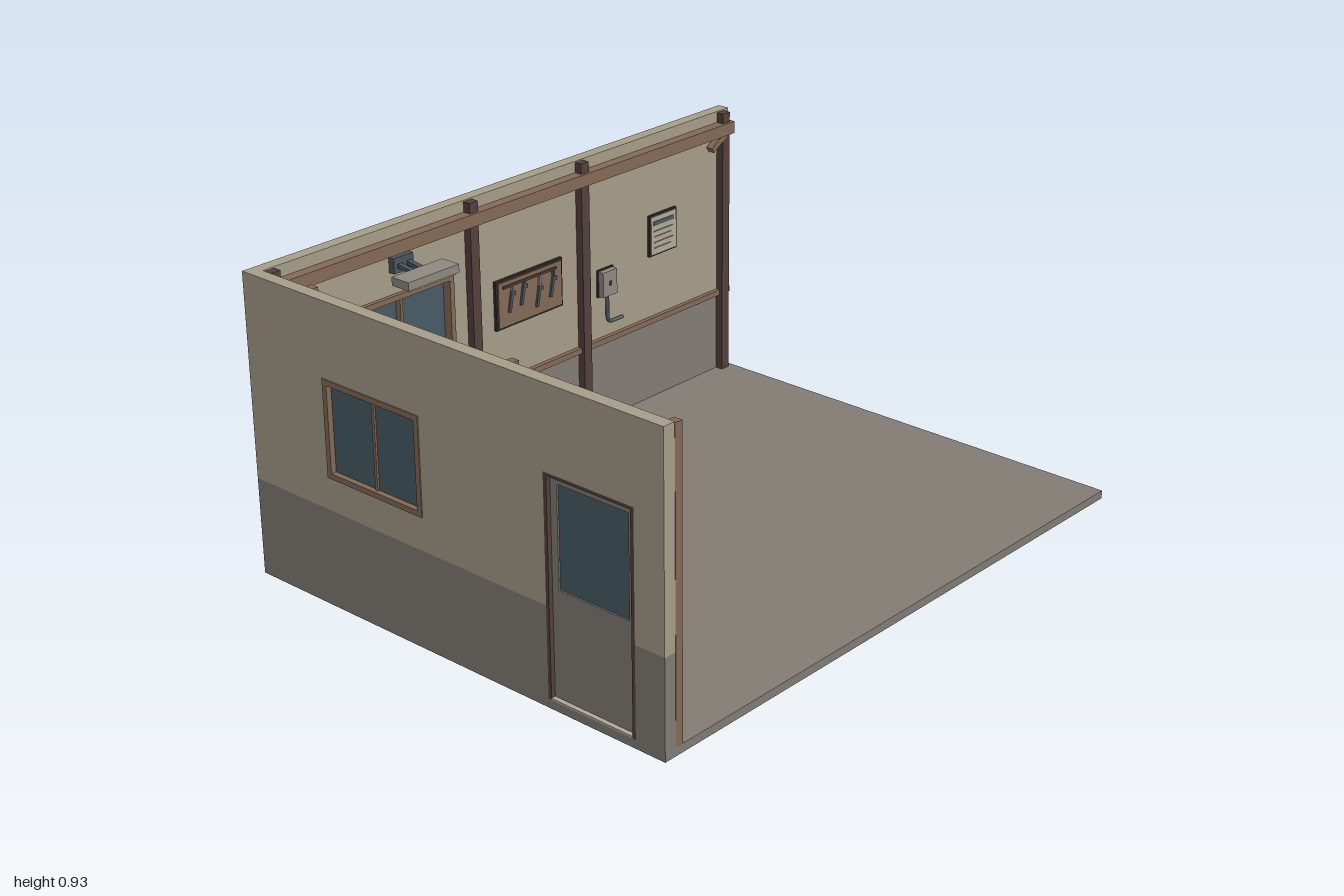
import * as THREE from 'three';

const mat = (name, color) => Object.assign(new THREE.MeshStandardMaterial({ color }), { name });

export function createModel() {
  const plaster = mat('plaster', 0xa69d89), stone = mat('greyBase', 0x827b74);
  const wood = mat('wood', 0x836955), darkWood = mat('darkWood', 0x52413b);
  const glass = mat('glass', 0x475b65), steel = mat('steel', 0x4a555c);
  const metal = mat('paleMetal', 0x8d8880), paper = mat('paper', 0xb0a998);
  const black = mat('darkTrim', 0x2e2a2a);

  const model = new THREE.Group();
  model.name = 'roomCorner';
  const group = (parent, name) => {
    const g = new THREE.Group();
    g.name = name;
    parent.add(g);
    return g;
  };
  const add = (parent, name, geo, material) => {
    const m = new THREE.Mesh(geo, material);
    m.name = name;
    parent.add(m);
    return m;
  };
  // Box given by its limits along x, y and z
  const box = (parent, name, material, x0, x1, y0, y1, z0, z1) => {
    const m = add(parent, name, new THREE.BoxGeometry(x1 - x0, y1 - y0, z1 - z0), material);
    m.position.set((x0 + x1) / 2, (y0 + y1) / 2, (z0 + z1) / 2);
    return m;
  };
  const T = 0.04, H = 0.93, DADO = 0.302, FLOOR = 0.026;

  // Flat wall panel with optional rectangular holes; its inner face lies at z = 0
  const panel = (parent, name, material, pts, holes = []) => {
    const shape = new THREE.Shape(pts.map(p => new THREE.Vector2(...p)));
    for (const [x0, x1, y0, y1] of holes) {
      shape.holes.push(new THREE.Path([[x0, y0], [x0, y1], [x1, y1], [x1, y0]].map(p => new THREE.Vector2(...p))));
    }
    const geo = new THREE.ExtrudeGeometry(shape, { depth: T, bevelEnabled: false });
    geo.translate(0, 0, -T);
    add(parent, name, geo, material);
  };

  // Two-pane window with a frame through the wall and an inner sill
  const windowUnit = (parent, x0, x1, y0, y1) => {
    const w = group(parent, 'window'), f = 0.017, a = -T - 0.003, b = 0.014, c = (x0 + x1) / 2;
    box(w, 'frameLeft', wood, x0, x0 + f, y0, y1, a, b);
    box(w, 'frameRight', wood, x1 - f, x1, y0, y1, a, b);
    box(w, 'frameTop', wood, x0 + f, x1 - f, y1 - f, y1, a, b);
    box(w, 'frameBottom', wood, x0 + f, x1 - f, y0, y0 + f, a, b);
    box(w, 'mullion', wood, c - 0.005, c + 0.005, y0 + f, y1 - f, -0.032, 0.004);
    box(w, 'glass', glass, x0 + f, x1 - f, y0 + f, y1 - f, -0.026, -0.016);
    box(w, 'sill', wood, x0 - 0.016, x1 + 0.017, y0 - 0.012, y0 + 0.001, 0, 0.04);
  };

  box(model, 'floor', stone, -0.997, 1, 0, FLOOR, -0.775, 0.772);

  // Back wall
  const back = group(model, 'backWall');
  back.position.z = -0.735;
  const bw = [-0.665, -0.26, 0.437, 0.72];
  panel(back, 'lowerWall', stone, [[-0.997, 0], [1, 0], [1, DADO], [-0.997, DADO]]);
  panel(back, 'upperWall', plaster, [[-0.997, DADO], [1, DADO], [1, H], [-0.997, H]],
    [[bw[0] + 0.005, bw[1] - 0.005, bw[2] + 0.005, bw[3] - 0.005]]);
  windowUnit(back, ...bw);
  box(back, 'rail', wood, -0.955, 0.995, 0.293, 0.312, 0, 0.015);
  box(back, 'beam', wood, -0.955, 0.992, 0.853, 0.893, 0, 0.035);
  for (const x of [-0.934, -0.181, 0.294, 0.961]) {
    box(back, 'post', darkWood, x - 0.017, x + 0.017, FLOOR, 0.926, 0, 0.026);
  }
  // Small diagonal braces under the beam ends
  for (const [x, a] of [[-0.89, -0.56], [0.932, 0.56]]) {
    const b = box(back, 'brace', wood, -0.047, 0.047, -0.01, 0.01, 0.005, 0.029);
    b.position.x = x;
    b.position.y = 0.84;
    b.rotation.z = a;
  }

  // Left-hand side wall, in its own frame: x runs backwards, z into the room
  const side = group(model, 'sideWall');
  side.position.x = -0.957;
  side.rotation.y = Math.PI / 2;
  const sw = [0.09, 0.465, 0.403, 0.7], d0 = -0.672, d1 = -0.364, dTop = 0.684, u0 = -0.772, u1 = 0.735;
  panel(side, 'lowerWallFront', stone, [[u0, 0], [d0, 0], [d0, DADO], [u0, DADO]]);
  panel(side, 'lowerWallRear', stone, [[d1, 0], [u1, 0], [u1, DADO], [d1, DADO]]);
  panel(side, 'upperWall', plaster,
    [[u0, DADO], [d0, DADO], [d0, dTop], [d1, dTop], [d1, DADO], [u1, DADO], [u1, H], [u0, H]],
    [[sw[0] + 0.005, sw[1] - 0.005, sw[2] + 0.005, sw[3] - 0.005]]);
  windowUnit(side, ...sw);
  box(side, 'railFront', wood, u0, -0.692, 0.293, 0.312, 0, 0.015);
  box(side, 'railRear', wood, -0.347, u1, 0.293, 0.312, 0, 0.015);
  box(side, 'beam', wood, -0.755, u1 - 0.02, 0.857, 0.897, 0, 0.035);
  for (const u of [-0.76, -0.212, 0.55]) {
    box(side, 'post', wood, u - 0.013, u + 0.013, FLOOR, 0.926, 0, 0.026);
  }

  // Door with casing, jambs, glazed upper half and handle
  const door = group(side, 'door');
  box(door, 'casingFront', wood, -0.692, d0, FLOOR, dTop, 0, 0.02);
  box(door, 'casingRear', wood, d1, -0.347, FLOOR, dTop, 0, 0.02);
  box(door, 'casingTop', wood, -0.692, -0.347, dTop, 0.708, 0, 0.022);
  box(door, 'jambFront', darkWood, d0, d0 + 0.011, FLOOR, dTop, -T, 0.016);
  box(door, 'jambRear', darkWood, d1 - 0.011, d1, FLOOR, dTop, -T, 0.016);
  box(door, 'jambTop', darkWood, d0 + 0.011, d1 - 0.011, dTop - 0.009, dTop, -T, 0.016);
  box(door, 'threshold', paper, d0 + 0.011, d1 - 0.011, FLOOR, 0.032, -T, 0.01);
  box(door, 'lowerLeaf', stone, -0.661, -0.375, 0.032, 0.352, -0.026, -0.006);
  box(door, 'topRail', stone, -0.661, -0.375, 0.654, 0.675, -0.026, -0.006);
  box(door, 'stileFront', stone, -0.661, -0.642, 0.352, 0.654, -0.026, -0.006);
  box(door, 'stileRear', stone, -0.398, -0.375, 0.352, 0.654, -0.026, -0.006);
  box(door, 'glass', glass, -0.642, -0.398, 0.352, 0.654, -0.021, -0.011);
  for (const u of [-0.633, -0.406]) {
    box(door, 'panelGroove', black, u - 0.002, u + 0.002, 0.07, 0.288, -0.007, -0.004);
  }
  box(door, 'handlePlate', steel, -0.419, -0.408, 0.315, 0.352, -0.006, 0);
  box(door, 'handleLever', steel, -0.444, -0.409, 0.328, 0.336, 0.004, 0.012);
  box(door, 'handleStem', steel, -0.416, -0.41, 0.329, 0.335, 0, 0.005);

  // Wall lamp on two arms
  const lamp = group(back, 'wallLamp');
  box(lamp, 'mount', steel, -0.5, -0.424, 0.79, 0.838, 0, 0.022);
  for (const x of [-0.478, -0.442]) {
    const arm = box(lamp, 'arm', steel, x - 0.008, x + 0.008, 0.802, 0.814, 0.018, 0.095);
    arm.rotation.x = 0.12;
  }
  box(lamp, 'head', metal, -0.563, -0.365, 0.79, 0.816, 0.08, 0.15);
  box(lamp, 'lens', paper, -0.553, -0.375, 0.784, 0.79, 0.086, 0.144);

  // Tool board
  const board = group(back, 'toolBoard');
  box(board, 'edge', black, -0.088, 0.2, 0.48, 0.64, 0, 0.01);
  box(board, 'panel', wood, -0.081, 0.193, 0.487, 0.633, 0.01, 0.015);
  box(board, 'hookRail', darkWood, -0.063, 0.168, 0.613, 0.621, 0.015, 0.02);
  [[-0.033, 0.563], [0.018, 0.572], [0.085, 0.545], [0.146, 0.56]].forEach(([x, y], i) => {
    const tool = group(board, 'tool');
    tool.position.set(x, y, 0.018);
    tool.rotation.z = -0.2;
    box(tool, 'shaft', steel, -0.005, 0.005, -0.032, 0.03, -0.003, 0.004);
    box(tool, 'head', steel, -0.005, 0.013, 0.022, 0.034, -0.003, 0.005);
    box(board, 'hook', i % 2 ? steel : metal, x + 0.003, x + 0.01, y + 0.03, 0.616, 0.015, 0.023);
  });

  // Switch box with its conduit
  const sb = group(back, 'switchBox');
  box(sb, 'backPlate', black, 0.364, 0.436, 0.453, 0.545, 0, 0.006);
  box(sb, 'housing', metal, 0.368, 0.432, 0.457, 0.541, 0.006, 0.026);
  box(sb, 'button', steel, 0.396, 0.404, 0.493, 0.507, 0.026, 0.03);
  const path = new THREE.CurvePath();
  const P = (x, y) => new THREE.Vector3(x, y, 0.012);
  path.add(new THREE.LineCurve3(P(0.4, 0.46), P(0.4, 0.385)));
  path.add(new THREE.QuadraticBezierCurve3(P(0.4, 0.385), P(0.4, 0.361), P(0.425, 0.361)));
  path.add(new THREE.LineCurve3(P(0.425, 0.361), P(0.47, 0.361)));
  add(sb, 'conduit', new THREE.TubeGeometry(path, 24, 0.006, 8), steel);

  // Notice sheet
  const notice = group(back, 'notice');
  box(notice, 'frame', black, 0.605, 0.735, 0.522, 0.662, 0, 0.008);
  box(notice, 'sheet', paper, 0.611, 0.729, 0.528, 0.656, 0.008, 0.011);
  box(notice, 'heading', glass, 0.622, 0.718, 0.626, 0.64, 0.011, 0.013);
  [0.606, 0.587, 0.568, 0.549].forEach((y, i) =>
    box(notice, 'line', stone, 0.625, i % 2 ? 0.705 : 0.715, y - 0.002, y + 0.002, 0.011, 0.013));

  return model;
}
